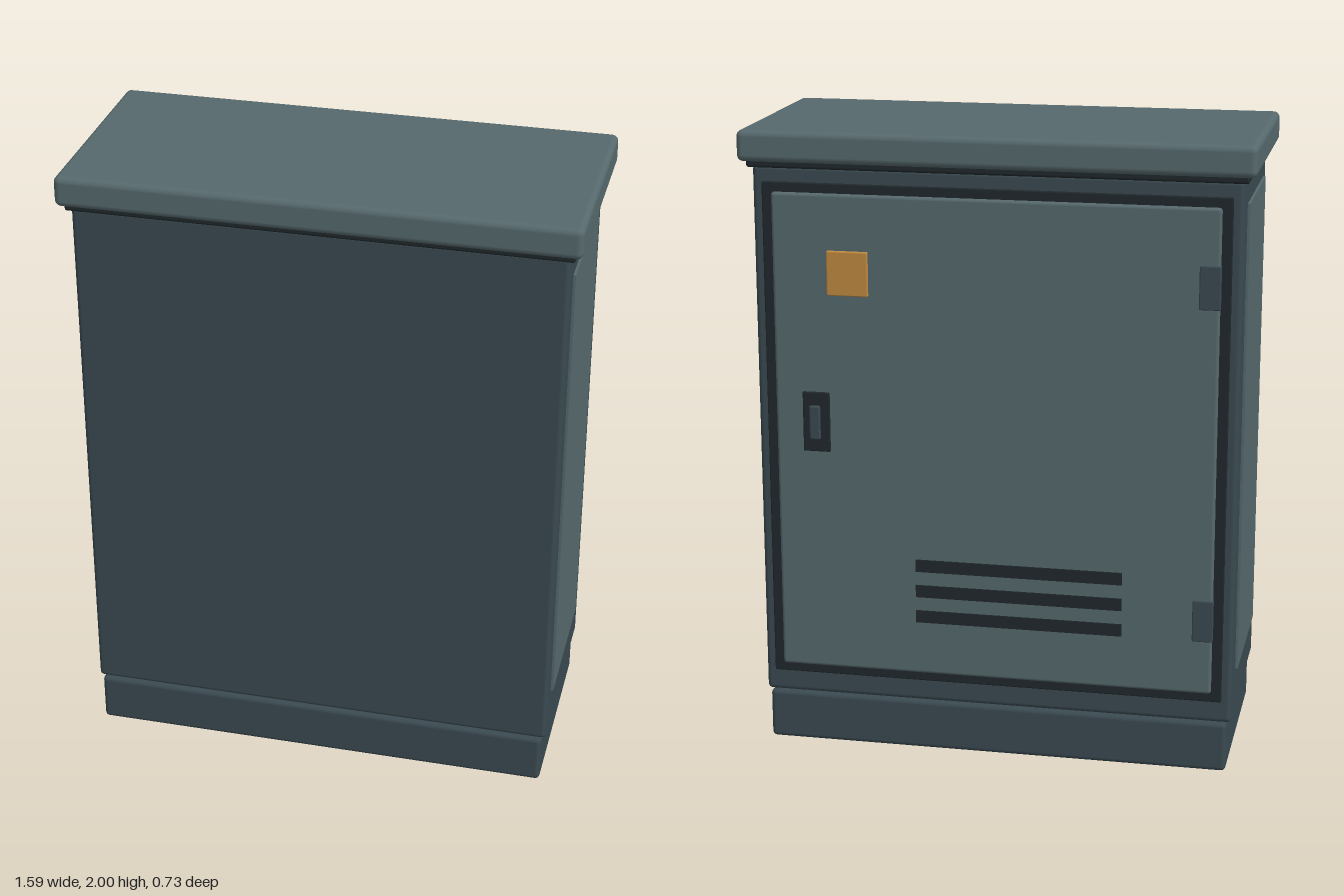
import * as THREE from 'three';
import { RoundedBoxGeometry } from 'three/addons/geometries/RoundedBoxGeometry.js';

const paint = (color) => new THREE.MeshStandardMaterial({ color });
const bodyPaint = paint(0x3a4a51);
const lightPaint = paint(0x56696d);
const darkPaint = paint(0x20282b);
const signPaint = paint(0xc08a40);

export function createModel() {
  const cabinet = new THREE.Group();
  cabinet.name = 'utilityCabinet';

  // Box given by its minimum and maximum corners, with optional rounded edges
  function box(name, material, [x0, y0, z0], [x1, y1, z1], radius = 0) {
    const size = [x1 - x0, y1 - y0, z1 - z0];
    const geometry = radius > 0
      ? new RoundedBoxGeometry(...size, 3, radius)
      : new THREE.BoxGeometry(...size);
    const mesh = new THREE.Mesh(geometry, material);
    mesh.position.set((x0 + x1) / 2, (y0 + y1) / 2, (z0 + z1) / 2);
    mesh.name = name;
    cabinet.add(mesh);
  }

  // Main shell
  box('plinth', bodyPaint, [-0.745, 0, -0.333], [0.745, 0.163, 0.333], 0.015);
  box('body', bodyPaint, [-0.758, 0.163, -0.325], [0.758, 1.89, 0.325], 0.015);
  box('roofSeal', darkPaint, [-0.773, 1.883, -0.34], [0.773, 1.91, 0.34], 0.008);
  box('roof', lightPaint, [-0.797, 1.903, -0.364], [0.797, 2, 0.364], 0.02);

  // Raised panels on both sides
  for (const [name, x] of [['leftSidePanel', 0.756], ['rightSidePanel', -0.756]]) {
    box(name, lightPaint, [x - 0.01, 0.31, -0.225], [x + 0.01, 1.805, 0.255]);
  }

  // Door in its dark surround, on the -z face
  box('doorSurround', darkPaint, [-0.727, 0.235, -0.334], [0.727, 1.84, -0.31], 0.004);
  box('door', lightPaint, [-0.695, 0.265, -0.347], [0.695, 1.81, -0.315], 0.01);

  // Hinges
  for (const [name, y] of [['upperHinge', 1.5], ['lowerHinge', 0.44]]) {
    box(name, bodyPaint, [-0.697, y, -0.352], [-0.632, y + 0.135, -0.33], 0.004);
  }

  // Ventilation louvres
  for (let i = 0; i < 3; i++) {
    const y = 0.44 + i * 0.085;
    box('ventLouvre' + (i + 1), darkPaint, [-0.41, y, -0.352], [0.25, y + 0.04, -0.34]);
  }

  // Latch: recessed plate and grip
  box('latchPlate', darkPaint, [0.52, 0.99, -0.353], [0.607, 1.183, -0.335], 0.004);
  box('latchGrip', bodyPaint, [0.55, 1.03, -0.362], [0.585, 1.14, -0.345], 0.006);

  // Plain warning plate
  box('warningPlate', signPaint, [0.39, 1.495, -0.358], [0.52, 1.635, -0.34], 0.004);

  return cabinet;
}
